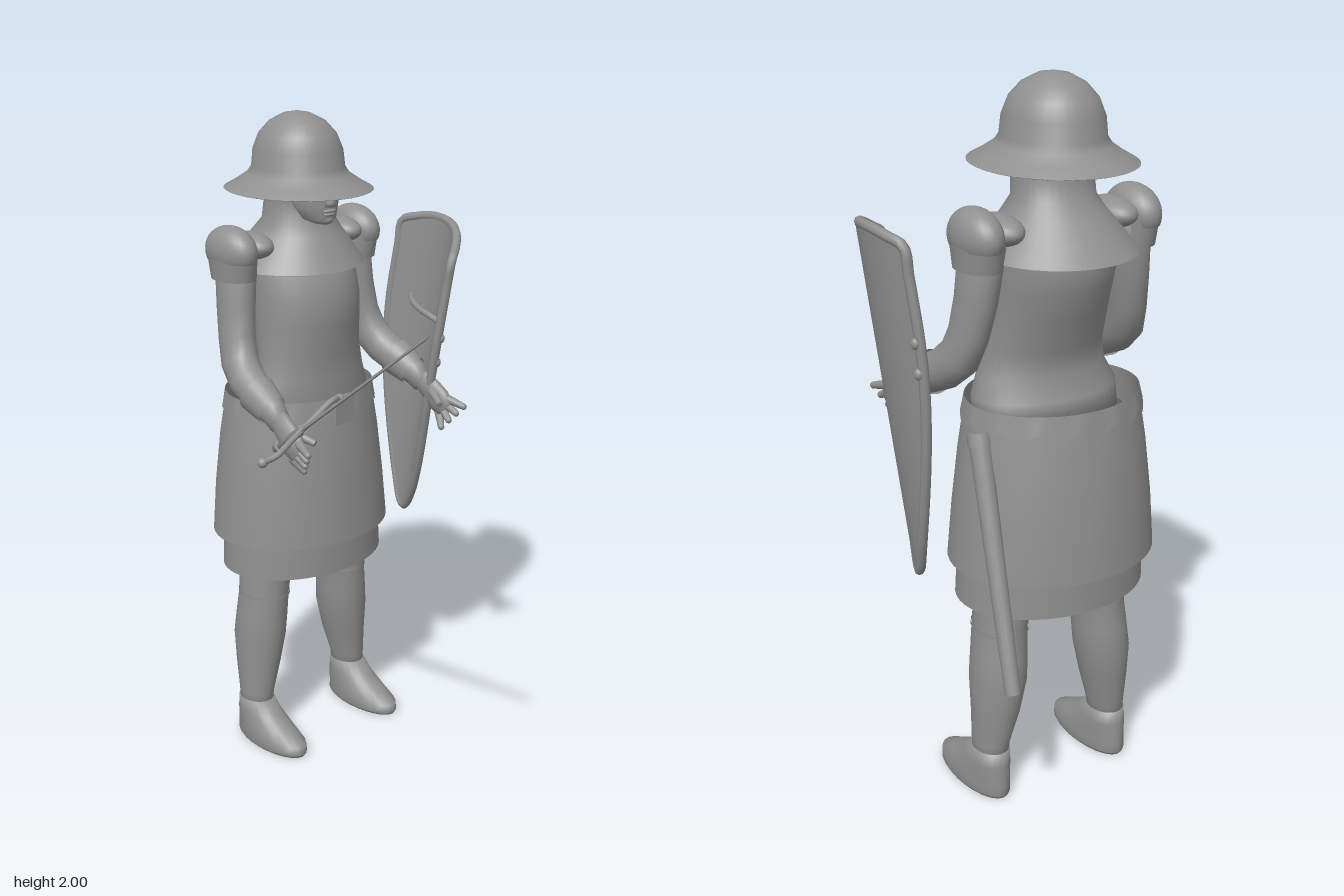
import * as THREE from 'three';
import { mergeVertices } from 'three/addons/utils/BufferGeometryUtils.js';

const V = (x, y, z) => new THREE.Vector3(x, y, z);
const UP = V(0, 1, 0);
const CX = 0.06; // the body's own centre line
const CZ = -0.44;

export function createModel() {
  const root = new THREE.Group();
  const grey = new THREE.MeshStandardMaterial({ color: 0x909090, side: THREE.DoubleSide });
  grey.name = 'plain grey';

  function add(name, geo, parent = root) {
    const mesh = new THREE.Mesh(geo, grey);
    mesh.name = name;
    parent.add(mesh);
    return mesh;
  }

  // Skin over elliptical rings [x, y, z, rx, rz], listed from low to high
  function loft(rings, { tilt = false, caps = true, n = 24 } = {}) {
    const pos = [], idx = [];
    const c = rings.map(r => V(r[0], r[1], r[2]));
    rings.forEach((r, k) => {
      const dir = c[Math.min(k + 1, c.length - 1)].clone().sub(c[Math.max(k - 1, 0)]).normalize();
      const q = new THREE.Quaternion();
      if (tilt) q.setFromUnitVectors(UP, dir);
      for (let i = 0; i < n; i++) {
        const a = (i / n) * Math.PI * 2;
        pos.push(...V(Math.cos(a) * r[3], 0, Math.sin(a) * r[4]).applyQuaternion(q).add(c[k]).toArray());
      }
    });
    for (let k = 0; k < rings.length - 1; k++) for (let i = 0; i < n; i++) {
      const a = k * n + i, b = k * n + (i + 1) % n;
      idx.push(a, a + n, b, b, a + n, b + n);
    }
    if (caps) [0, rings.length - 1].forEach((k, top) => {
      const m = pos.length / 3;
      pos.push(...c[k].toArray());
      for (let i = 0; i < n; i++) {
        const a = k * n + i, b = k * n + (i + 1) % n;
        idx.push(m, ...(top ? [b, a] : [a, b]));
      }
    });
    const g = new THREE.BufferGeometry();
    g.setAttribute('position', new THREE.Float32BufferAttribute(pos, 3));
    g.setIndex(idx);
    g.computeVertexNormals();
    return g;
  }

  // Straight tapered rod between two points
  function rod(a, b, ra, rb, n = 12) {
    const d = b.clone().sub(a);
    const g = new THREE.CylinderGeometry(rb, ra, d.length(), n);
    g.applyQuaternion(new THREE.Quaternion().setFromUnitVectors(UP, d.clone().normalize()));
    return g.translate(...a.clone().add(b).multiplyScalar(0.5).toArray());
  }
  const ball = (x, y, z, rx, ry, rz) =>
    new THREE.SphereGeometry(1, 24, 16).scale(rx, ry, rz).translate(x, y, z);
  const tube = (pts, r, closed = false) =>
    new THREE.TubeGeometry(new THREE.CatmullRomCurve3(pts, closed), 48, r, 8, closed);

  // Kettle hat
  const hat = [[0, 2], [0.04, 1.992], [0.08, 1.97], [0.11, 1.935], [0.127, 1.89], [0.132, 1.84],
    [0.145, 1.82], [0.18, 1.795], [0.212, 1.776], [0.208, 1.774], [0.13, 1.81]];
  add('helmet', new THREE.LatheGeometry(hat.map(p => new THREE.Vector2(...p)), 40)
    .scale(1, 1, 1.12).translate(CX, 0, -0.425));

  // Head and face
  add('head', loft([[CX, 1.685, -0.325, 0.025, 0.035], [CX, 1.7, -0.345, 0.055, 0.06],
    [CX, 1.74, -0.37, 0.078, 0.085], [CX, 1.8, -0.39, 0.09, 0.1], [CX, 1.88, -0.4, 0.085, 0.1]]));
  add('nose', loft([[CX, 1.737, -0.288, 0.018, 0.015], [CX, 1.75, -0.282, 0.016, 0.018],
    [CX, 1.8, -0.29, 0.009, 0.012]], { n: 12 }));
  add('upperLip', ball(CX, 1.724, -0.287, 0.024, 0.006, 0.01));
  add('lowerLip', ball(CX, 1.714, -0.289, 0.021, 0.006, 0.01));
  add('chin', ball(CX, 1.697, -0.298, 0.022, 0.014, 0.014));
  for (const s of [-1, 1]) add('eye', ball(CX + s * 0.035, 1.785, -0.302, 0.014, 0.009, 0.01));

  // Hood with shoulder cape
  add('hood', loft([[CX, 1.552, -0.45, 0.212, 0.212], [CX, 1.6, -0.442, 0.178, 0.172],
    [CX, 1.65, -0.435, 0.138, 0.135], [CX, 1.69, -0.43, 0.114, 0.1], [CX, 1.75, -0.425, 0.115, 0.085],
    [CX, 1.82, -0.425, 0.115, 0.09]], { caps: false, n: 36 }));

  // Torso armour
  add('torso', loft([[CX, 1.1, -0.41, 0.215, 0.14], [CX, 1.165, -0.4, 0.215, 0.135],
    [CX, 1.22, -0.385, 0.19, 0.115], [CX, 1.29, -0.39, 0.178, 0.12], [CX, 1.38, -0.4, 0.177, 0.142],
    [CX, 1.46, -0.41, 0.18, 0.155], [CX, 1.54, -0.43, 0.185, 0.15], [CX, 1.61, -0.44, 0.19, 0.11],
    [CX, 1.66, -0.44, 0.12, 0.07]], { n: 36 }));
  add('breastplateEdge', loft([[CX, 1.545, -0.42, 0.183, 0.158], [CX, 1.558, -0.42, 0.181, 0.156]],
    { caps: false, n: 36 }));

  // Skirt, lower hem, scalloped waist flap and buckle
  add('skirt', loft([[CX, 0.71, -0.445, 0.296, 0.247], [CX, 0.86, -0.445, 0.284, 0.236],
    [CX, 1.02, -0.443, 0.265, 0.22], [CX, 1.165, -0.44, 0.243, 0.196]], { caps: false, n: 48 }));
  add('underskirt', loft([[CX, 0.6, -0.44, 0.277, 0.212], [CX, 0.78, -0.44, 0.268, 0.208]],
    { caps: false, n: 48 }));
  const flap = loft([[CX, 1.105, -0.441, 0.257, 0.211], [CX, 1.168, -0.44, 0.247, 0.2]],
    { caps: false, n: 96 });
  const fp = flap.attributes.position;
  for (let i = 0; i < 96; i++) fp.setY(i, 1.125 - 0.025 * Math.abs(Math.sin(i / 96 * Math.PI * 14)));
  flap.computeVertexNormals();
  add('waistFlap', flap);
  add('buckle', new THREE.BoxGeometry(0.08, 0.085, 0.02).translate(CX, 1.128, -0.235));

  // Limbs, mirrored about the body's centre line
  for (const s of [-1, 1]) {
    const X = d => CX + s * d;
    const side = s > 0 ? 'left' : 'right';

    add(side + 'Leg', loft([[X(0.2), 0.1, -0.45, 0.047, 0.058], [X(0.198), 0.16, -0.45, 0.05, 0.062],
      [X(0.185), 0.26, -0.453, 0.065, 0.078], [X(0.176), 0.36, -0.452, 0.077, 0.09],
      [X(0.17), 0.43, -0.447, 0.075, 0.09], [X(0.163), 0.52, -0.44, 0.073, 0.086],
      [X(0.15), 0.6, -0.442, 0.08, 0.092], [X(0.13), 0.8, -0.44, 0.095, 0.11],
      [X(0.11), 1.1, -0.44, 0.1, 0.115]]));
    add(side + 'Kneeband', loft([[X(0.163), 0.505, -0.44, 0.076, 0.089],
      [X(0.163), 0.515, -0.44, 0.076, 0.089]], { caps: false }));
    add(side + 'Shoe', loft([[X(0.2), 0, -0.373, 0.06, 0.146], [X(0.2), 0.01, -0.373, 0.066, 0.152],
      [X(0.2), 0.035, -0.374, 0.065, 0.15], [X(0.2), 0.065, -0.402, 0.062, 0.12],
      [X(0.2), 0.1, -0.432, 0.056, 0.088], [X(0.2), 0.14, -0.45, 0.051, 0.064]]));

    // Arm from wrist up to shoulder
    add(side + 'Arm', loft([[X(0.29), 1.16, -0.185, 0.03, 0.036], [X(0.288), 1.185, -0.215, 0.036, 0.042],
      [X(0.283), 1.215, -0.28, 0.05, 0.053], [X(0.275), 1.25, -0.35, 0.055, 0.057],
      [X(0.262), 1.295, -0.4, 0.052, 0.062], [X(0.25), 1.36, -0.425, 0.05, 0.062],
      [X(0.238), 1.45, -0.44, 0.052, 0.066], [X(0.23), 1.54, -0.447, 0.054, 0.07],
      [X(0.21), 1.63, -0.45, 0.05, 0.06]], { tilt: true, n: 20 }));
    add(side + 'Cuff', loft([[X(0.287), 1.19, -0.225, 0.044, 0.05], [X(0.282), 1.225, -0.3, 0.058, 0.06]],
      { tilt: true, caps: false }));
    // Shoulder guard
    add(side + 'Pauldron', new THREE.SphereGeometry(1, 24, 12, 0, Math.PI * 2, 0, Math.PI * 0.62)
      .scale(0.058, 0.075, 0.1).translate(X(0.243), 1.617, -0.447));
    add(side + 'ShoulderPlate', loft([[X(0.237), 1.535, -0.447, 0.058, 0.078],
      [X(0.24), 1.61, -0.447, 0.06, 0.092]], { caps: false }));
    add(side + 'ShoulderStrap', ball(X(0.175), 1.625, -0.445, 0.055, 0.04, 0.09));

    // Hand with open fingers
    add(side + 'Palm', loft([[X(0.3), 1.09, -0.095, 0.018, 0.034], [X(0.299), 1.115, -0.12, 0.024, 0.046],
      [X(0.295), 1.145, -0.155, 0.024, 0.042], [X(0.29), 1.175, -0.195, 0.027, 0.032]], { tilt: true, n: 16 }));
    for (let i = 0; i < 4; i++) {
      const base = V(X(0.302), 1.127 - i * 0.017, -0.092 - i * 0.011);
      const tip = V(X(0.318 - i * 0.012), 1.11 - i * 0.024, -0.035 - i * 0.02);
      add(side + 'Finger', rod(base, tip, 0.014, 0.01, 10));
      add(side + 'Fingertip', ball(tip.x, tip.y, tip.z, 0.01, 0.01, 0.01));
    }
    add(side + 'Thumb', rod(V(X(0.285), 1.145, -0.14), V(X(0.255), 1.12, -0.075), 0.015, 0.01, 10));
  }

  // Sword: local y runs along the blade, local x along the guard
  const sword = new THREE.Group();
  sword.name = 'sword';
  const by = V(-0.255, 0.47, 0.742).normalize();
  const bx = V(0.88, 0.477, 0).normalize();
  const bz = bx.clone().cross(by).normalize();
  bx.crossVectors(by, bz);
  sword.quaternion.setFromRotationMatrix(new THREE.Matrix4().makeBasis(bx, by, bz));
  sword.position.set(-0.295, 1.205, -0.01);
  root.add(sword);
  const flat = g => { const f = g.toNonIndexed(); f.computeVertexNormals(); return f; };
  add('blade', flat(new THREE.CylinderGeometry(0.009, 0.017, 0.87, 4).scale(1, 1, 0.35).translate(0, 0.435, 0)), sword);
  add('bladeTip', flat(new THREE.ConeGeometry(0.009, 0.045, 4).scale(1, 1, 0.35).translate(0, 0.8925, 0)), sword);
  add('grip', new THREE.CylinderGeometry(0.014, 0.012, 0.21, 12).translate(0, -0.105, 0), sword);
  add('pommel', new THREE.CylinderGeometry(0.02, 0.016, 0.035, 12).translate(0, -0.225, 0), sword);
  add('crossguard', tube([V(-0.15, -0.015, -0.012), V(-0.12, 0.015, 0), V(-0.05, 0.004, 0), V(0, 0, 0),
    V(0.05, 0.004, 0), V(0.12, 0.015, 0), V(0.15, -0.015, 0.012)], 0.009), sword);
  for (const s of [-1, 1]) add('guardKnob', ball(s * 0.15, -0.015, s * 0.012, 0.015, 0.015, 0.015), sword);

  // Scabbard hanging behind the left hip
  const top = V(0.315, 1.1, -0.48), end = V(0.357, 0.47, -0.71);
  add('scabbard', rod(end, top, 0.021, 0.029, 14));
  add('scabbardCollar', rod(top.clone().lerp(end, 0.04), top.clone().lerp(end, -0.01), 0.032, 0.032, 14));

  // Curved shield: u runs from front edge to back edge, v from tip to top
  const low = V(0.43, 0.69, -0.34), high = V(0.52, 1.635, -0.23);
  const across = V(0.34, 0.16, -0.92), out = V(0.94, 0, 0.34);
  function shieldPoint(u, v, depth = 0) {
    const w = Math.pow(Math.sin(Math.min(v * 1.25 + 0.01, 1) * Math.PI / 2), 0.62);
    const p = low.clone().lerp(high, v).addScaledVector(across, u * w * 0.185);
    p.addScaledVector(out, -0.08 * u * u * w * w - depth);
    p.y -= 0.05 * Math.pow(Math.abs(u), 2.5) * v * v;
    return p;
  }
  function shieldSheet(depth) {
    const g = new THREE.PlaneGeometry(2, 1, 16, 28), p = g.attributes.position;
    for (let i = 0; i < p.count; i++) {
      const q = shieldPoint(p.getX(i), p.getY(i) + 0.5, depth);
      p.setXYZ(i, q.x, q.y, q.z);
    }
    g.deleteAttribute('normal');
    g.deleteAttribute('uv');
    const m = mergeVertices(g);
    m.computeVertexNormals();
    return m;
  }
  add('shieldFace', shieldSheet(0));
  add('shieldBack', shieldSheet(0.022));
  const rim = [];
  for (let i = 0; i <= 12; i++) rim.push(shieldPoint(-1, i / 12, 0.011));
  for (let i = 1; i < 8; i++) rim.push(shieldPoint(-1 + i / 4, 1, 0.011));
  for (let i = 12; i >= 0; i--) rim.push(shieldPoint(1, i / 12, 0.011));
  add('shieldRim', new THREE.TubeGeometry(new THREE.CatmullRomCurve3(rim, true), 120, 0.014, 8, true));
  // Arm straps inside and rivets on the edges
  for (const v of [0.5, 0.72])
    add('shieldStrap', tube([-0.6, -0.3, 0, 0.3, 0.6].map((u, i) =>
      shieldPoint(u, v, [0.02, 0.06, 0.075, 0.06, 0.02][i])), 0.01));
  for (const u of [-1, 1]) for (const v of [0.63, 0.72]) {
    const p = shieldPoint(u, v);
    add('rivet', ball(p.x, p.y, p.z, 0.013, 0.016, 0.013));
  }
  return root;
}
